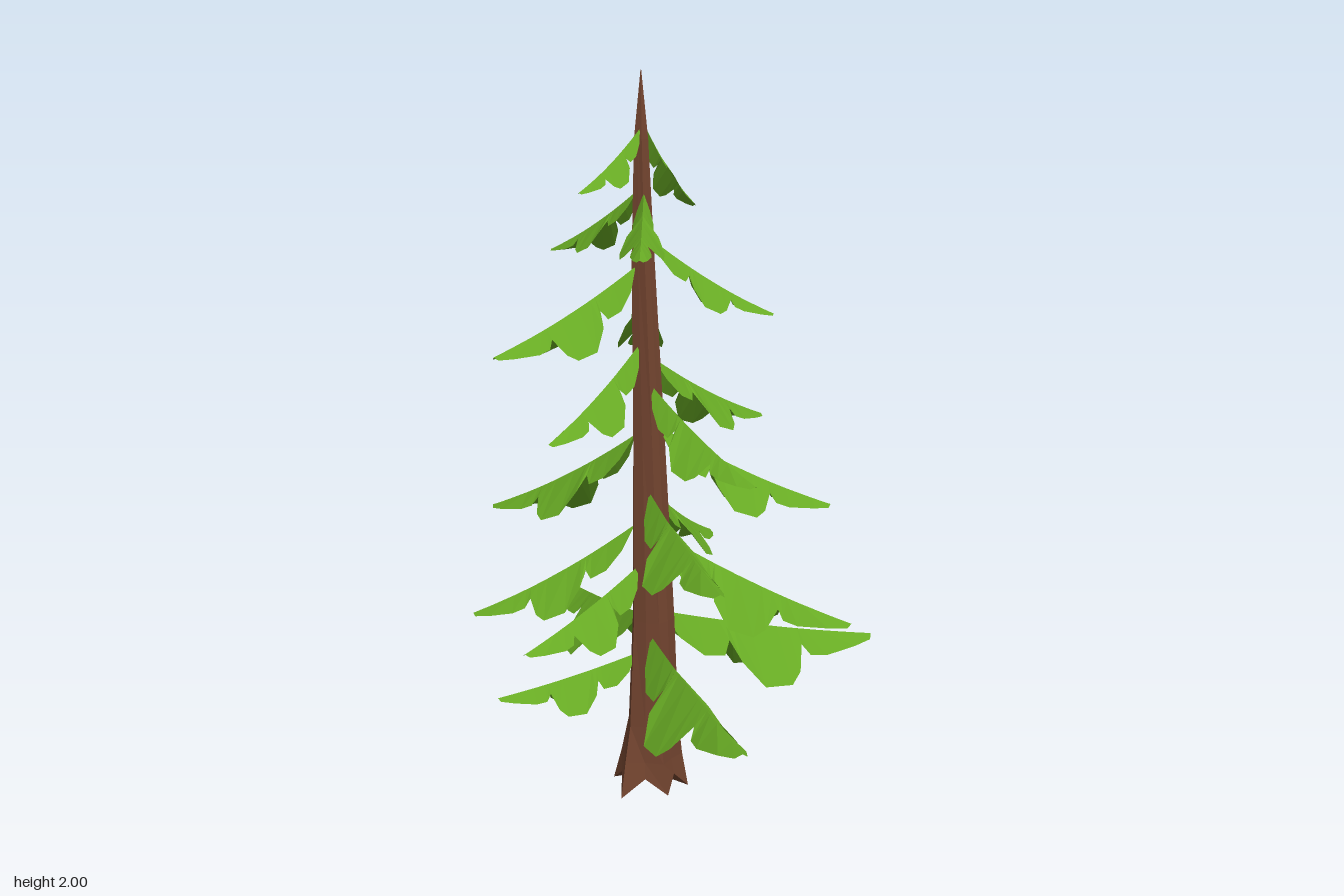
import * as THREE from 'three';

const CX = -0.11, CZ = -0.008;

// Builds a flat-shaded geometry from a list of triangles
function fromTriangles(tris) {
  const g = new THREE.BufferGeometry();
  g.setAttribute('position', new THREE.Float32BufferAttribute(tris.flat(2), 3));
  g.computeVertexNormals();
  return g;
}

// Lobed half-profile of a bough: [distance along, half width, droop], relative to its length
const LOBES = [
  [0.06, 0.00, 0.00], [0.13, 0.05, 0.09], [0.22, 0.08, 0.14], [0.31, 0.08, 0.13], [0.34, 0.05, 0.07],
  [0.37, 0.12, 0.14], [0.45, 0.17, 0.22], [0.57, 0.165, 0.20], [0.62, 0.13, 0.15], [0.66, 0.05, 0.055],
  [0.69, 0.075, 0.09], [0.76, 0.08, 0.085], [0.90, 0.055, 0.045], [0.985, 0.025, 0.02],
];

// Bough: two drooping lobed sides folded along a sagging spine
function boughGeometry(rootY, tipX, tipY, tipZ) {
  const dx = tipX - CX, dz = tipZ - CZ, L = Math.hypot(dx, dz);
  const sx = -dz / L, sz = dx / L;
  const spine = t => [CX + dx * t, rootY + (tipY - rootY) * (t + 0.3 * t * (1 - t)), CZ + dz * t];
  const edge = ([t, w, d], s) => {
    const p = spine(t);
    return [p[0] + s * sx * w * L, p[1] - d * L, p[2] + s * sz * w * L];
  };
  const tris = [];
  for (const s of [-1, 1]) {
    const add = (a, b, c) => tris.push(s > 0 ? [a, c, b] : [a, b, c]);
    for (let i = 0; i < LOBES.length - 1; i++) {
      const a = spine(LOBES[i][0]), b = spine(LOBES[i + 1][0]);
      const ea = edge(LOBES[i], s), eb = edge(LOBES[i + 1], s);
      add(a, b, eb);
      if (i > 0) add(a, eb, ea);
    }
    const last = LOBES[LOBES.length - 1];
    add(spine(last[0]), spine(1), edge(last, s));
  }
  return fromTriangles(tris);
}

// Trunk: ridged rings tapering from flared roots to a point
function trunkGeometry() {
  const N = 10;
  // height, ridge radius, groove radius, centre x
  const rings = [
    [0.03, 0.112, 0.078, -0.102], [0.10, 0.092, 0.07, -0.1], [0.2, 0.076, 0.064, -0.095],
    [0.5, 0.062, 0.054, -0.092], [1.0, 0.047, 0.04, -0.102], [1.5, 0.033, 0.027, -0.115],
    [1.82, 0.02, 0.016, -0.118], [2.0, 0.001, 0.001, -0.117],
  ];
  const pt = (r, i) => {
    const [y, ridge, groove, cx] = rings[r];
    const k = i % N, a = (k / N) * Math.PI * 2 + r * 0.06;
    const rad = k % 2 ? groove : ridge;
    // uneven root ends
    const dy = r === 0 ? (k % 2 ? 0.025 : -0.03 + 0.03 * ((k * 3) % 4) / 4) : 0;
    return [cx + Math.cos(a) * rad, y + dy, CZ + Math.sin(a) * rad];
  };
  const tris = [];
  for (let i = 0; i < N; i++) {
    for (let r = 0; r < rings.length - 1; r++) {
      const a = pt(r, i), b = pt(r, i + 1), c = pt(r + 1, i + 1), d = pt(r + 1, i);
      tris.push([a, d, c], [a, c, b]);
    }
    tris.push([[-0.102, 0.05, CZ], pt(0, i), pt(0, i + 1)]);
  }
  return fromTriangles(tris);
}

export function createModel() {
  const bark = new THREE.MeshStandardMaterial({ color: 0x744530, flatShading: true });
  bark.name = 'bark brown';
  const needles = new THREE.MeshStandardMaterial({ color: 0x68ab24, flatShading: true, side: THREE.DoubleSide });
  needles.name = 'needle green';

  const tree = new THREE.Group();
  tree.name = 'firTree';
  const trunk = new THREE.Mesh(trunkGeometry(), bark);
  trunk.name = 'trunk';
  tree.add(trunk);

  // Boughs from bottom to top: root height, then tip x, y, z
  const boughs = [
    [0.41, -0.53, 0.31, 0.04], [0.47, 0.01, 0.35, 0.69], [0.51, -0.24, 0.43, -0.69], [0.53, 0.58, 0.38, -0.13],
    [0.67, -0.48, 0.51, 0.29], [0.77, 0.41, 0.53, 0.25], [0.79, -0.58, 0.51, -0.12],
    [0.88, -0.02, 0.72, 0.56], [0.89, 0.17, 0.63, -0.48], [1.04, -0.5, 0.77, -0.33], [1.07, 0.41, 0.81, 0.02],
    [1.18, 0.11, 0.95, 0.38], [1.25, 0.28, 1.02, -0.28], [1.29, -0.41, 1.06, 0.28],
    [1.46, -0.07, 1.22, -0.38], [1.5, -0.54, 1.28, 0.22], [1.57, 0.24, 1.35, 0.03],
    [1.69, -0.18, 1.53, 0.33], [1.7, -0.33, 1.51, -0.26],
    [1.86, 0.07, 1.63, -0.21], [1.86, -0.31, 1.69, 0.17],
  ];
  const foliage = new THREE.Group();
  foliage.name = 'foliage';
  boughs.forEach((b, i) => {
    const mesh = new THREE.Mesh(boughGeometry(...b), needles);
    mesh.name = `bough${i + 1}`;
    foliage.add(mesh);
  });
  tree.add(foliage);
  return tree;
}
